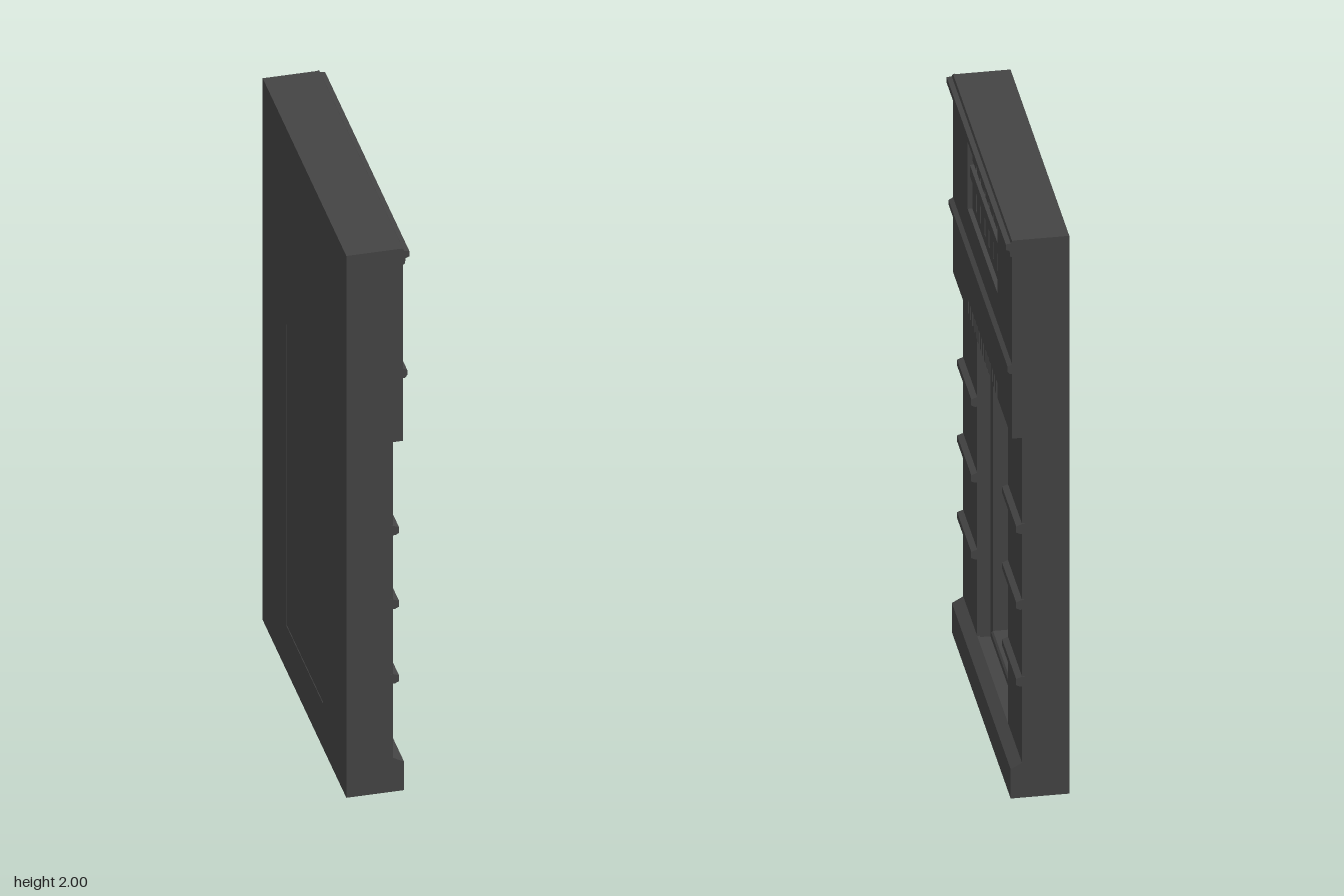
import * as THREE from 'three';

const material = new THREE.MeshStandardMaterial({ color: 0x444444 });
const HALF = 0.538; // half the wall width

export function createModel() {
  const model = new THREE.Group();

  const add = (name, geometry, parent = model) => {
    const mesh = new THREE.Mesh(geometry, material);
    mesh.name = name;
    parent.add(mesh);
    return mesh;
  };
  const group = (name) => {
    const g = new THREE.Group();
    g.name = name;
    model.add(g);
    return g;
  };
  const box = (name, x0, x1, y0, y1, z0, z1, parent) =>
    add(name, new THREE.BoxGeometry(x1 - x0, y1 - y0, z1 - z0), parent)
      .position.set((x0 + x1) / 2, (y0 + y1) / 2, (z0 + z1) / 2);
  const rect = (half, y0, y1) =>
    [[-half, y0], [half, y0], [half, y1], [-half, y1]].map(([a, b]) => new THREE.Vector2(a, b));

  // Upright slab with openings, from x0 (back) to x1 (face)
  const slab = (name, outline, holes, x0, x1, parent) => {
    const shape = new THREE.Shape(outline);
    holes.forEach((h) => shape.holes.push(new THREE.Path(h)));
    const g = new THREE.ExtrudeGeometry(shape, { depth: x1 - x0, bevelEnabled: false });
    g.rotateY(Math.PI / 2).translate(x0, 0, 0);
    return add(name, g, parent);
  };
  // Moulding with an [x, y] profile, running along z
  const moulding = (name, profile, z0, z1, parent) => {
    const shape = new THREE.Shape(profile.map(([x, y]) => new THREE.Vector2(x, y)));
    const g = new THREE.ExtrudeGeometry(shape, { depth: z1 - z0, bevelEnabled: false });
    return add(name, g.translate(0, 0, z0), parent);
  };

  // Wall in layers, giving a stepped window reveal
  slab('backWall', rect(HALF, 0, 2), [rect(0.235, 0.165, 1.28)], -0.102, 0.006);
  slab('pierLayer', rect(HALF, 0, 2), [rect(0.282, 0.12, 1.29)], 0.006, 0.048);

  // Upper wall: slotted lintel below, vent opening above
  const outline = [new THREE.Vector2(-HALF, 1.29)];
  const slots = 14, pitch = 0.56 / slots;
  for (let i = 0; i < slots; i++) {
    const a = -0.28 + i * pitch + 0.01, b = a + 0.02;
    [[a, 1.29], [a, 1.342], [b, 1.342], [b, 1.29]].forEach(([u, y]) => outline.push(new THREE.Vector2(u, y)));
  }
  outline.push(new THREE.Vector2(HALF, 1.29), new THREE.Vector2(HALF, 2), new THREE.Vector2(-HALF, 2));
  slab('upperWall', outline, [rect(0.272, 1.665, 1.933)], 0.048, 0.08);

  // Plinth with sloped top
  moulding('plinth', [[0.04, 0], [0.084, 0], [0.084, 0.105], [0.048, 0.125], [0.04, 0.125]], -HALF, HALF);

  // Cornice and string course
  moulding('cornice', [[0.075, 1.94], [0.086, 1.945], [0.088, 1.965], [0.1, 1.97], [0.1, 1.99], [0.084, 1.992],
    [0.08, 2], [0.075, 2]], -HALF - 0.003, HALF + 0.003);
  moulding('stringCourse', [[0.075, 1.523], [0.086, 1.523], [0.094, 1.532], [0.094, 1.55], [0.08, 1.558], [0.075, 1.558]],
    -HALF - 0.002, HALF + 0.002);

  // Bands across both piers
  const bands = group('pierBands');
  for (const y of [0.4, 0.675, 0.947]) {
    const profile = [[0.04, y], [0.055, y], [0.067, y + 0.006], [0.067, y + 0.028], [0.048, y + 0.035], [0.04, y + 0.035]];
    moulding('pierBand', profile, 0.282, HALF + 0.002, bands);
    moulding('pierBand', profile, -HALF - 0.002, -0.282, bands);
  }

  // Vent panel: rails and two rows of blocks
  const vent = group('ventPanel');
  box('lowerRail', 0.045, 0.065, 1.665, 1.695, -0.272, 0.272, vent);
  box('middleRail', 0.045, 0.073, 1.782, 1.822, -0.272, 0.272, vent);
  box('middleRailLip', 0.045, 0.066, 1.766, 1.782, -0.272, 0.272, vent);
  box('upperRail', 0.045, 0.07, 1.91, 1.933, -0.272, 0.272, vent);
  for (const y of [1.697, 1.842]) {
    for (let i = -3; i <= 3; i++) {
      box('ventBlock', 0.045, 0.066, y, y + 0.063, i * 0.077 - 0.03, i * 0.077 + 0.03, vent);
    }
  }

  // Window: glazing, outer frame, sashes and rails
  const win = group('window');
  box('glazing', -0.1, -0.09, 0.165, 1.28, -0.235, 0.235, win);
  slab('outerFrame', rect(0.235, 0.165, 1.28), [rect(0.222, 0.182, 1.268)], -0.1, -0.062, win);
  slab('upperSash', rect(0.222, 0.772, 1.268), [rect(0.209, 0.8, 1.256)], -0.095, -0.068, win);
  slab('lowerSash', rect(0.222, 0.182, 0.772), [rect(0.209, 0.194, 0.482), rect(0.209, 0.495, 0.762)], -0.095, -0.078, win);

  // Sill at the foot of the stepped reveal
  moulding('sill', [[-0.062, 0.165], [0.006, 0.165], [0.012, 0.16], [0.012, 0.15], [-0.062, 0.15]], -0.235, 0.235, win);

  model.position.z = 0.002;
  return model;
}
